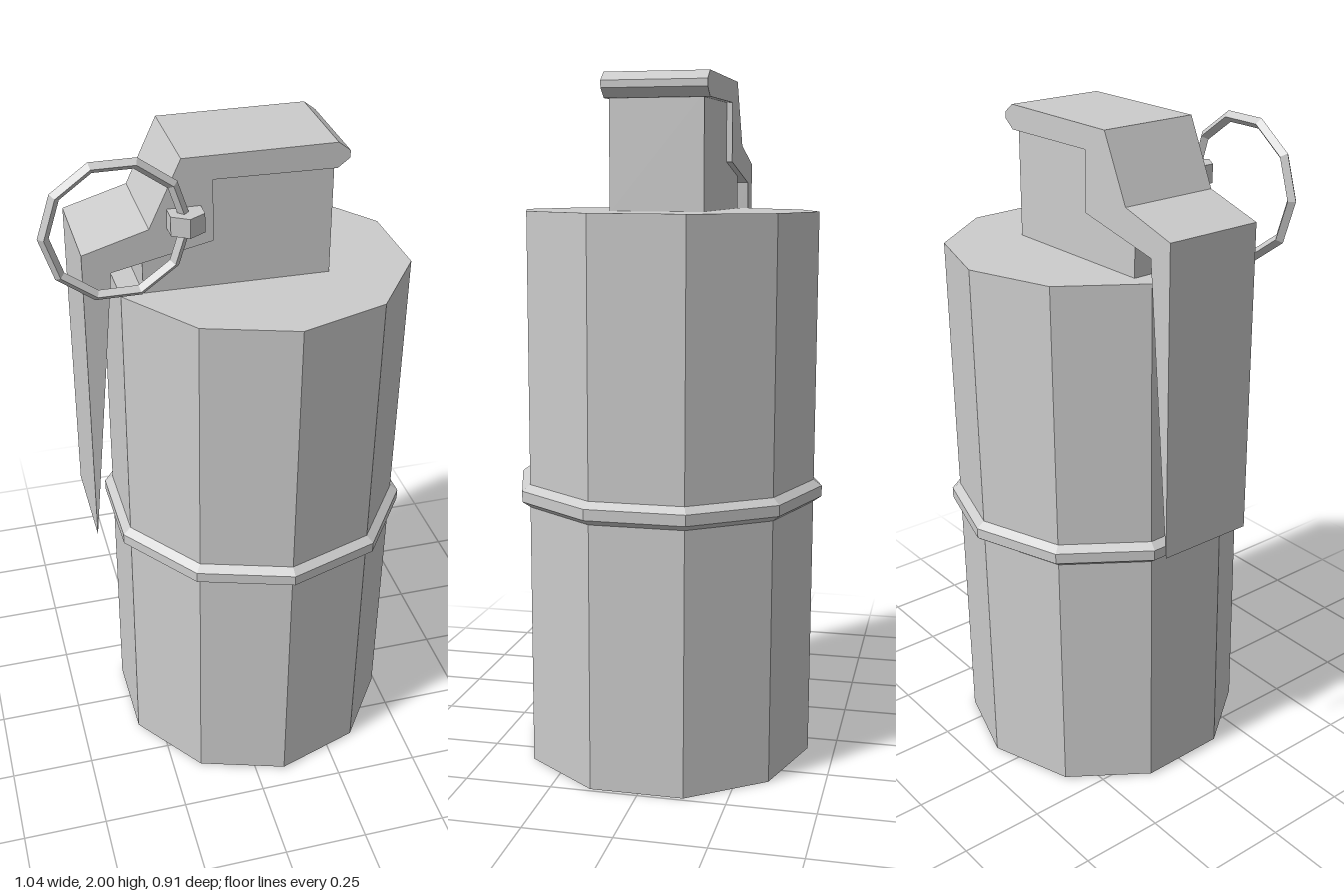
import * as THREE from 'three';

export function createModel() {
  const model = new THREE.Group();
  model.name = 'canister';
  const grey = new THREE.MeshStandardMaterial({ color: 0xcccccc, flatShading: true });
  grey.name = 'light grey';

  const add = (name, geometry, parent = model) => {
    const mesh = new THREE.Mesh(geometry, grey);
    mesh.name = name;
    parent.add(mesh);
    return mesh;
  };
  // Extrudes a side outline from z0 to z1
  const slab = (points, z0, z1) => {
    const shape = new THREE.Shape(points.map(([x, y]) => new THREE.Vector2(x, y)));
    return new THREE.ExtrudeGeometry(shape, { depth: z1 - z0, bevelEnabled: false }).translate(0, 0, z0);
  };

  // Ten-sided canister with its waist band, leaning very slightly
  const body = new THREE.Group();
  body.name = 'body';
  body.position.set(0.083, 0.004, 0.008);
  body.rotation.set(-0.006, 0.01, -0.008);
  model.add(body);
  add('can', new THREE.CylinderGeometry(0.429, 0.429, 1.592, 10).translate(0, 0.796, 0), body);
  const bandProfile = [[0.425, 0.757], [0.453, 0.777], [0.453, 0.808], [0.425, 0.828]];
  add('waistBand', new THREE.LatheGeometry(bandProfile.map(([r, y]) => new THREE.Vector2(r, y)), 10), body);

  // Fuse block on top of the can
  add('fuseBlock', slab([
    [-0.25, 1.59], [0.265, 1.59], [0.265, 1.91], [-0.07, 1.91], [-0.07, 1.74], [-0.25, 1.705],
  ], -0.136, 0.13));

  // Safety lever: cap, sloped shoulder and tapered handle
  add('lever', slab([
    [-0.415, 0.83], [-0.335, 1.677], [-0.062, 1.735], [-0.062, 1.905], [0.27, 1.9], [0.303, 1.925],
    [0.303, 1.945], [0.27, 1.97], [-0.145, 1.97], [-0.232, 1.787], [-0.41, 1.735],
  ], -0.153, 0.143));

  // Pin head on the front of the lever, lying flat
  const pin = slab([
    [-0.185, -0.13], [-0.185, -0.19], [-0.14, -0.217], [-0.095, -0.19], [-0.095, -0.13],
  ], 1.785, 1.838);
  add('pinHead', pin.rotateX(-Math.PI / 2));

  // Pull ring
  add('pullRing', new THREE.TorusGeometry(0.184, 0.015, 4, 10)).position.set(-0.322, 1.808, 0.17);

  return model;
}
